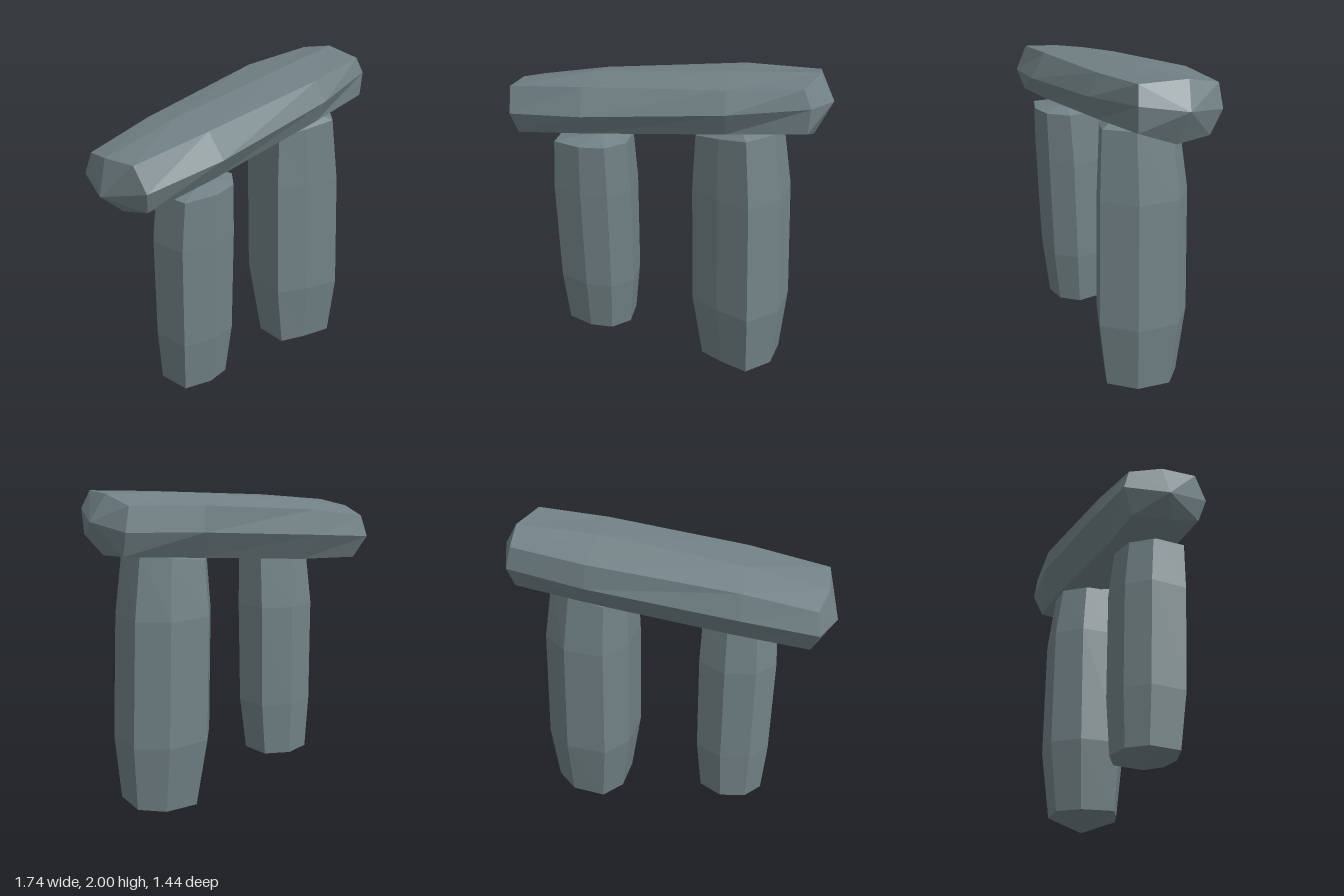
import * as THREE from 'three';

// Stone skinned over closed rings of [x, y, z] points, with a blunt point at each end
function loft(rings, start, end) {
  const pos = [];
  const tri = (a, b, c) => pos.push(...a, ...b, ...c);
  const n = rings[0].length;
  const last = rings[rings.length - 1];
  for (let j = 0; j < n; j++) {
    const k = (j + 1) % n;
    for (let i = 0; i < rings.length - 1; i++) {
      const a = rings[i], b = rings[i + 1];
      tri(a[j], b[j], b[k]);
      tri(a[j], b[k], a[k]);
    }
    tri(start, rings[0][j], rings[0][k]);
    tri(end, last[k], last[j]);
  }
  const geometry = new THREE.BufferGeometry();
  geometry.setAttribute('position', new THREE.Float32BufferAttribute(pos, 3));
  geometry.computeVertexNormals();
  return geometry;
}

// Upright stone: one outline, scaled and shifted at each level [y, cx, cz, scale, tilt]
function upright(outline, levels, foot, head) {
  const rings = levels.map(([y, cx, cz, s, tilt = 0]) =>
    outline.map(([x, z]) => [cx + x * s, y + x * s * tilt, cz + z * s]));
  return loft(rings, foot, head);
}

export function createModel() {
  const group = new THREE.Group();
  const stone = new THREE.MeshStandardMaterial({ color: 0x728286, flatShading: true });
  stone.name = 'grey stone';

  const add = (name, geometry) => {
    const mesh = new THREE.Mesh(geometry, stone);
    mesh.name = name;
    group.add(mesh);
  };

  // Tall standing stone
  add('tallUpright', upright(
    [[0.26, 0.18], [0.05, 0.24], [-0.15, 0.27], [-0.285, 0.05],
      [-0.27, -0.15], [-0.05, -0.28], [0.16, -0.26], [0.29, -0.05]],
    [[0.1, 0.47, -0.275, 0.82, 0.05], [0.52, 0.45, -0.27, 1], [1.28, 0.425, -0.26, 0.965], [1.64, 0.41, -0.24, 0.84, 0.17]],
    [0.48, 0, -0.3], [0.5, 1.72, -0.15]));

  // Short standing stone
  add('shortUpright', upright(
    [[0.22, 0.08], [0.1, 0.19], [-0.09, 0.25], [-0.235, 0.08],
      [-0.22, -0.08], [-0.09, -0.21], [0.1, -0.23], [0.235, -0.08]],
    [[0.205, -0.295, 0.275, 0.87], [0.55, -0.285, 0.285, 1], [1.2, -0.28, 0.3, 1.02], [1.51, -0.265, 0.315, 0.94, 0.05]],
    [-0.31, 0.13, 0.27], [-0.2, 1.56, 0.3]));

  // Capstone: four eight-sided sections from the low end to the high end
  add('capstone', loft([
    [[-0.62, 1.8, 0.67], [-0.76, 1.78, 0.5], [-0.83, 1.74, 0.32], [-0.87, 1.61, 0.3],
      [-0.79, 1.47, 0.33], [-0.68, 1.475, 0.53], [-0.56, 1.525, 0.67], [-0.56, 1.655, 0.72]],
    [[-0.2, 1.865, 0.43], [-0.37, 1.87, 0.23], [-0.5, 1.82, 0.055], [-0.52, 1.67, 0.02],
      [-0.43, 1.51, 0.08], [-0.28, 1.51, 0.25], [-0.17, 1.59, 0.44], [-0.13, 1.72, 0.5]],
    [[0.5, 1.95, -0.04], [0.34, 1.97, -0.25], [0.18, 1.925, -0.48], [0.18, 1.78, -0.5],
      [0.22, 1.62, -0.4], [0.38, 1.63, -0.22], [0.51, 1.695, -0.04], [0.55, 1.83, 0]],
    [[0.82, 1.99, -0.31], [0.71, 2, -0.55], [0.58, 1.955, -0.69], [0.6, 1.82, -0.72],
      [0.62, 1.68, -0.66], [0.74, 1.66, -0.5], [0.86, 1.745, -0.32], [0.87, 1.89, -0.32]],
  ], [-0.8, 1.58, 0.55], [0.8, 1.855, -0.575]));

  return group;
}
